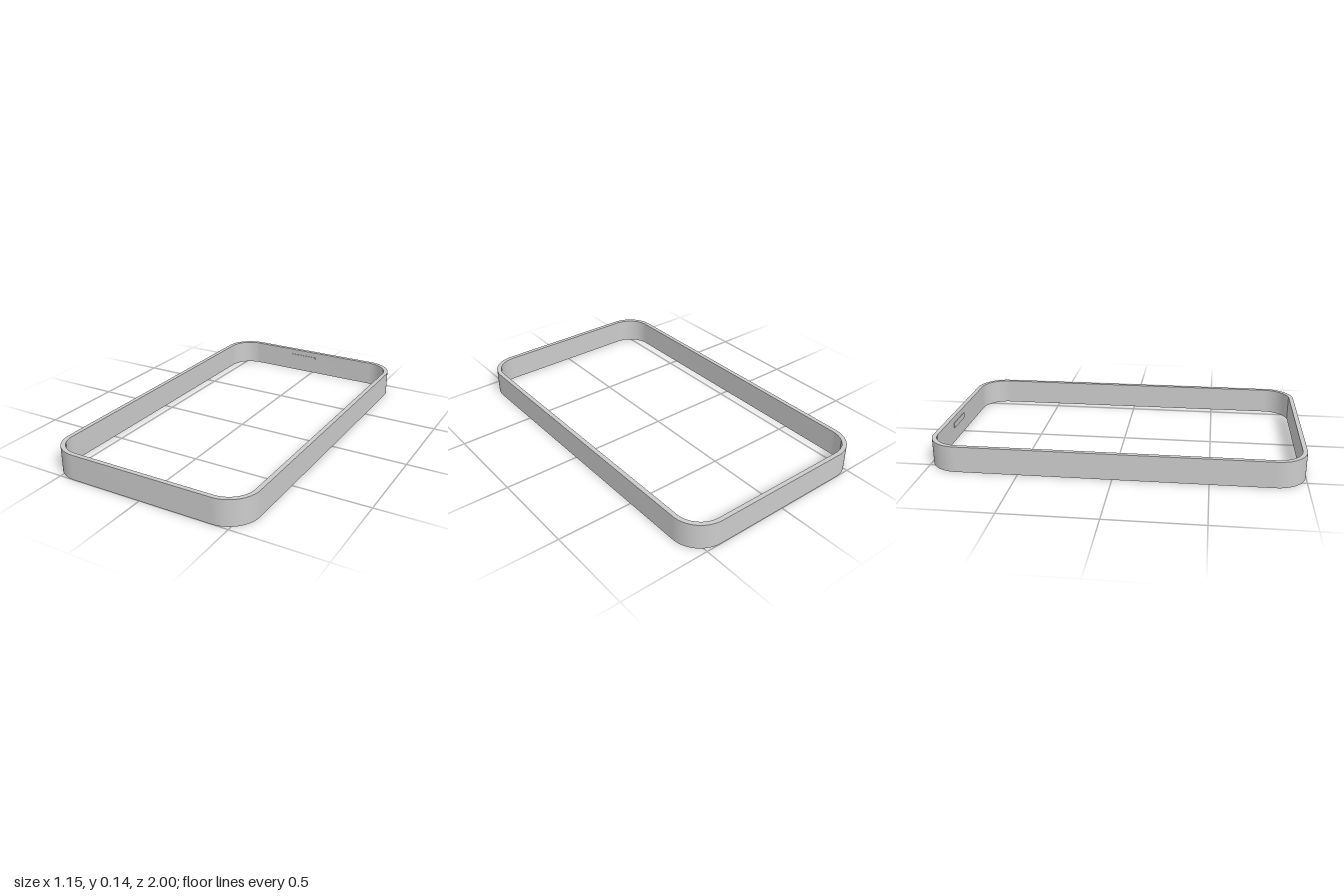
import * as THREE from 'three';
import { toCreasedNormals } from 'three/addons/utils/BufferGeometryUtils.js';

const HALF_X = 0.575, HALF_Z = 1, HEIGHT = 0.143, WALL = 0.025, RADIUS = 0.165;

// Rounded rectangle outline, half sizes w and h, corner radius r
function roundedRect(path, w, h, r) {
  path.moveTo(w, -h + r);
  path.lineTo(w, h - r);
  path.absarc(w - r, h - r, r, 0, Math.PI / 2);
  path.absarc(-w + r, h - r, r, Math.PI / 2, Math.PI);
  path.absarc(-w + r, -h + r, r, Math.PI, Math.PI * 1.5);
  path.absarc(w - r, -h + r, r, Math.PI * 1.5, Math.PI * 2);
  return path;
}

export function createModel() {
  const model = new THREE.Group();
  model.name = 'bumperFrame';
  const material = new THREE.MeshStandardMaterial({ color: 0xcccccc });

  // Thin upright band running round the rounded rectangle
  const shape = roundedRect(new THREE.Shape(), HALF_X, HALF_Z, RADIUS);
  shape.holes.push(roundedRect(new THREE.Path(), HALF_X - WALL, HALF_Z - WALL, RADIUS - WALL));
  const band = new THREE.ExtrudeGeometry(shape, { depth: HEIGHT, bevelEnabled: false, curveSegments: 20 });
  band.rotateX(-Math.PI / 2);
  const frame = new THREE.Mesh(toCreasedNormals(band, 0.5), material);
  frame.name = 'frame';
  model.add(frame);

  // Small shallow tab on the inside of the back wall
  const tab = new THREE.Mesh(new THREE.BoxGeometry(0.18, 0.03, 0.008), material);
  tab.name = 'innerTab';
  tab.position.set(-0.07, 0.095, -HALF_Z + WALL);
  model.add(tab);

  return model;
}
